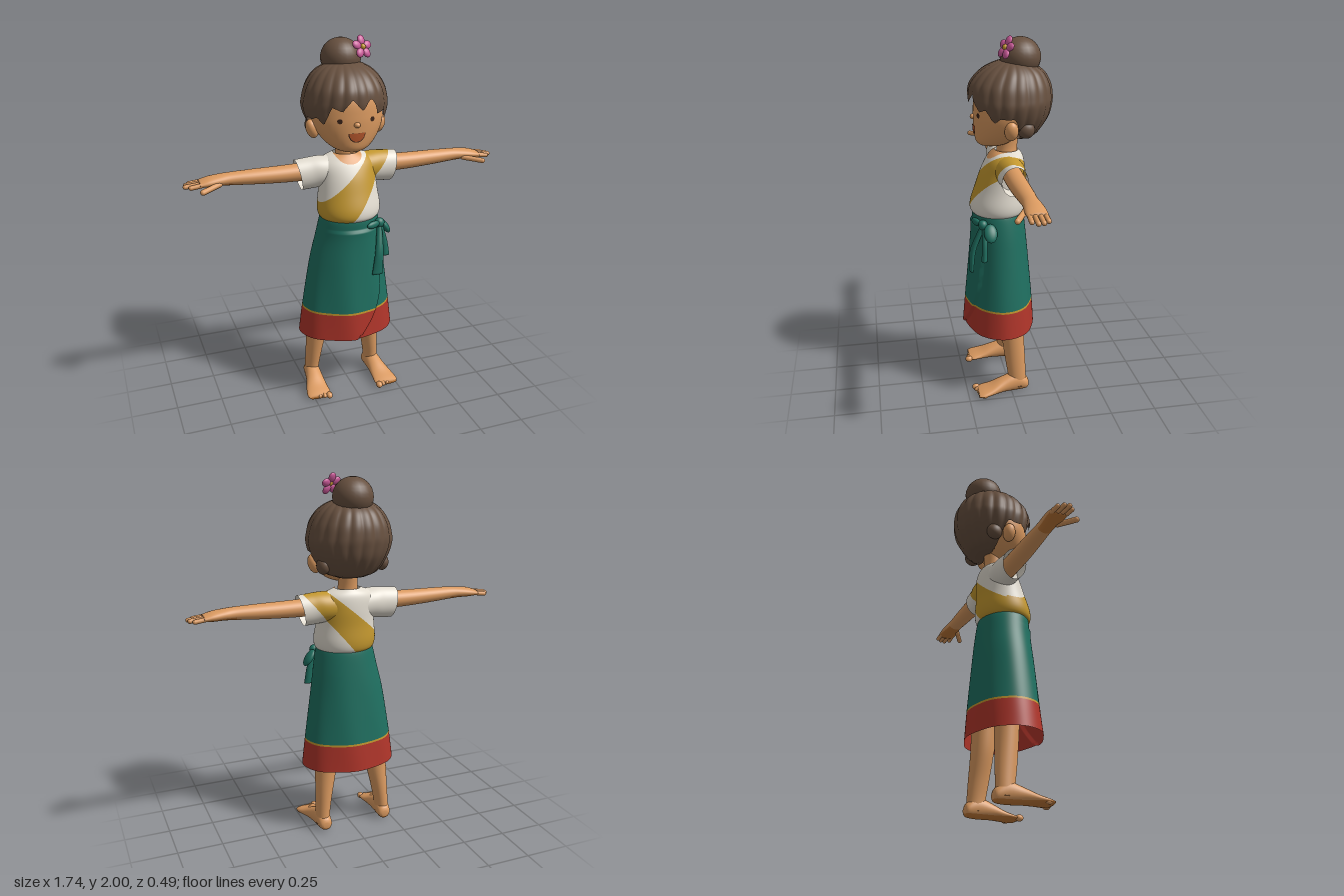
import * as THREE from 'three';

const mat = (name, color, side = THREE.FrontSide) => {
  const m = new THREE.MeshStandardMaterial({ color, side });
  m.name = name;
  return m;
};

// Loft of ovals along an axis. Row: [along, centre, radius, far side, near side].
const place = {
  y: (a, c, s) => new THREE.Vector3(c, a, s),
  x: (a, c, s) => new THREE.Vector3(a, c, s),
  z: (a, c, s) => new THREE.Vector3(c, s, a),
};
function sampler(rows) {
  const A = new THREE.CatmullRomCurve3(rows.map(r => new THREE.Vector3(r[0], r[1], r[2])), false, 'catmullrom');
  const B = new THREE.CatmullRomCurve3(rows.map(r => new THREE.Vector3(r[3], r[4], 0)), false, 'catmullrom');
  return t => {
    const p = A.getPoint(t), q = B.getPoint(t);
    return { a: p.x, c: p.y, r: Math.max(p.z, 0), m: (q.x + q.y) / 2, h: (q.x - q.y) / 2 };
  };
}
function loft(rows, { axis = 'y', n = 32, steps = 24, closed = true, warp } = {}) {
  const at = sampler(rows), pos = [], idx = [], rings = [];
  for (let i = 0; i <= steps; i++) rings.push(at(i / steps));
  if (closed) {
    rings.unshift({ ...rings[0], r: 0, h: 0 });
    rings.push({ ...rings[rings.length - 1], r: 0, h: 0 });
  }
  const flip = (axis !== 'y') !== (rows[rows.length - 1][0] < rows[0][0]);
  rings.forEach((k, i) => {
    for (let j = 0; j < n; j++) {
      const th = j / n * Math.PI * 2;
      const p = place[axis](k.a, k.c + k.r * Math.sin(th), k.m + k.h * Math.cos(th));
      if (warp) warp(p, th, k);
      pos.push(p.x, p.y, p.z);
      if (i === rings.length - 1) continue;
      const a = i * n + j, b = i * n + (j + 1) % n, c = b + n, d = a + n;
      idx.push(...(flip ? [a, c, b, a, d, c] : [a, b, c, a, c, d]));
    }
  });
  const g = new THREE.BufferGeometry();
  g.setAttribute('position', new THREE.Float32BufferAttribute(pos, 3));
  g.setIndex(idx);
  g.computeVertexNormals();
  return g;
}

// Cut a geometry cleanly along f = 0; returns [f >= 0, f < 0].
function split(geo, f) {
  const g = geo.index ? geo.toNonIndexed() : geo, P = g.attributes.position, N = g.attributes.normal;
  const out = [1, -1].map(sign => {
    const pos = [], nor = [];
    for (let i = 0; i < P.count; i += 3) {
      const tri = [0, 1, 2].map(k => {
        const p = new THREE.Vector3().fromBufferAttribute(P, i + k);
        return { p, n: new THREE.Vector3().fromBufferAttribute(N, i + k), v: sign * f(p) };
      });
      const poly = [];
      tri.forEach((a, k) => {
        const b = tri[(k + 1) % 3];
        if (a.v >= 0) poly.push(a);
        if ((a.v >= 0) !== (b.v >= 0)) {
          const t = a.v / (a.v - b.v);
          poly.push({ p: a.p.clone().lerp(b.p, t), n: a.n.clone().lerp(b.n, t) });
        }
      });
      for (let k = 1; k + 1 < poly.length; k++)
        for (const q of [poly[0], poly[k], poly[k + 1]]) { pos.push(...q.p.toArray()); nor.push(...q.n.toArray()); }
    }
    const o = new THREE.BufferGeometry();
    o.setAttribute('position', new THREE.Float32BufferAttribute(pos, 3));
    o.setAttribute('normal', new THREE.Float32BufferAttribute(nor, 3));
    return o;
  });
  return out;
}

export function createModel() {
  const root = new THREE.Group();
  const D = THREE.DoubleSide;
  const skin = mat('skin', 0xdb9a60), tan = mat('shadedSkin', 0xc47a38), hair = mat('hair', 0x67503f, D),
    white = mat('whiteCloth', 0xe2dcd0, D), gold = mat('goldCloth', 0xc4982f, D), green = mat('greenCloth', 0x1f6f60, D),
    red = mat('redCloth', 0xb0352a, D), pink = mat('petalPink', 0xcc5a9a), dark = mat('eyeBrown', 0x3a2318),
    lip = mat('mouthRed', 0xb5562c);
  const add = (name, geo, m) => {
    const o = new THREE.Mesh(geo, m);
    o.name = name;
    root.add(o);
    return o;
  };
  const ball = (name, m, p, s) => {
    const o = add(name, new THREE.SphereGeometry(1, 24, 16), m);
    o.position.set(...p);
    o.scale.set(...s);
    return o;
  };
  const capsule = (name, m, a, b, r) => {
    const A = new THREE.Vector3(...a), d = new THREE.Vector3(...b).sub(A);
    const o = add(name, new THREE.CapsuleGeometry(r, d.length(), 5, 12), m);
    o.position.copy(A).addScaledVector(d, 0.5);
    o.quaternion.setFromUnitVectors(new THREE.Vector3(0, 1, 0), d.normalize());
  };

  // Head and neck
  const headRows = [[1.425, 0, .012, .11, .06], [1.433, 0, .06, .142, .01], [1.455, 0, .105, .162, -.03], [1.5, 0, .15, .17, -.08],
    [1.56, 0, .183, .174, -.12], [1.62, 0, .195, .174, -.15], [1.7, 0, .19, .165, -.16], [1.78, 0, .16, .13, -.14]];
  add('head', loft(headRows, { n: 48, steps: 40 }), skin);
  add('neck', loft([[1.3, 0, .08, .07, -.07], [1.37, 0, .06, .055, -.06], [1.42, 0, .052, .05, -.06], [1.5, 0, .055, .05, -.07]]), skin);
  ball('nose', skin, [0, 1.583, .174], [.017, .015, .018]);

  // Eyes and mouth draped on the face
  const face = sampler(headRows);
  const drape = (name, geo, m, lift) => {
    const p = geo.attributes.position;
    for (let i = 0; i < p.count; i++) {
      let lo = 0, hi = 1;
      for (let k = 0; k < 30; k++) { const t = (lo + hi) / 2; if (face(t).a < p.getY(i)) lo = t; else hi = t; }
      const k = face(lo);
      p.setZ(i, k.m + k.h * Math.sqrt(Math.max(0, 1 - (p.getX(i) / k.r) ** 2)) + lift);
    }
    geo.computeVertexNormals();
    add(name, geo, m);
  };
  const mouth = (name, w, h, m, lift) =>
    drape(name, new THREE.RingGeometry(.001, 1, 24, 4, Math.PI, Math.PI).scale(w, h, 1).translate(0, 1.541, 0), m, lift);
  mouth('mouthEdge', .047, .05, dark, .003);
  mouth('mouth', .042, .045, lip, .005);
  for (const s of [-1, 1]) {
    drape('eye', new THREE.CircleGeometry(.013, 16).translate(s * .088, 1.605, 0), dark, .004);
    ball('ear', skin, [s * .187, 1.54, .005], [.032, .052, .036]).rotation.z = -s * .3;
    ball('sideCurl', hair, [s * .165, 1.54, -.075], [.035, .045, .045]);
  }

  // Hair cap with ridges and a jagged fringe
  const cap = loft([[1.47, 0, .08, 0, -.11], [1.5, 0, .15, .1, -.165], [1.58, 0, .203, .18, -.22], [1.65, 0, .226, .196, -.238],
    [1.7, 0, .222, .2, -.24], [1.76, 0, .204, .187, -.228], [1.82, 0, .162, .135, -.19], [1.86, 0, .1, .06, -.12], [1.88, 0, .01, -.03, -.05]],
  { n: 160, steps: 50, warp: (p, th, k) => {
    const f = 1 + .04 * (Math.abs(Math.sin(th * 10 + (1.88 - k.a) * 3)) - .6);
    p.x *= f;
    p.z = k.m + (p.z - k.m) * f;
  } });
  const line = p => {
    const th = Math.atan2(p.x, p.z + .03), a = Math.abs(th), L = THREE.MathUtils.lerp, S = THREE.MathUtils.smoothstep;
    let y = L(1.695, 1.605, S(a, .25, 1));
    y = L(y, 1.47, S(a, 1.45, 1.75));
    const saw = Math.abs(((th * 2.2 + 10.3) % 1) - .5) * 2;
    return a < 1.3 ? y + .06 * (saw - .6) * (1 - S(a, .8, 1.3)) : y;
  };
  add('hairCap', split(cap, p => p.y - line(p))[0], hair);
  ball('hairBun', hair, [0, 1.885, -.075], [.107, .102, .107]);

  // Flower on the bun
  const flower = new THREE.Group();
  flower.name = 'flower';
  for (let i = 0; i < 5; i++) {
    const a = i / 5 * Math.PI * 2 + .3, o = ball('petal', pink, [Math.cos(a) * .036, Math.sin(a) * .036, 0], [.027, .022, .013]);
    o.rotation.z = a;
    flower.add(o);
  }
  flower.add(ball('flowerCentre', gold, [0, 0, .006], [.015, .015, .014]));
  flower.position.set(.085, 1.945, .015);
  flower.quaternion.setFromUnitVectors(new THREE.Vector3(0, 0, 1), new THREE.Vector3(.35, .4, .85).normalize());
  root.add(flower);

  // Blouse: torso and sleeves, with the sash over the left shoulder
  const sash = p => .07 + .055 * (1.38 - p.y) / .32 - Math.abs(p.y - p.x - (p.z < 0 ? 1.195 : 1.21));
  const dress = (name, geo) => {
    const [on, off] = split(geo, sash);
    add('sash', on, gold);
    add(name, off, white);
  };
  const torso = loft([[1.05, 0, .15, .18, -.085], [1.075, 0, .168, .198, -.1], [1.12, 0, .173, .195, -.105], [1.2, 0, .163, .168, -.1],
    [1.28, 0, .157, .14, -.1], [1.34, 0, .158, .11, -.095], [1.375, 0, .13, .085, -.085], [1.4, 0, .07, .062, -.065]],
  { n: 96, steps: 48, closed: false });
  const [chest, cloth] = split(torso, p => p.z > 0 ? 1 - (p.x / .075) ** 2 - ((p.y - 1.405) / .052) ** 2 : -1);
  add('neckline', chest, skin);
  dress('blouse', cloth);
  for (const s of [-1, 1]) {
    const out = rows => rows.map(([x, ...r]) => [s * x, ...r]);
    const sleeve = loft(out([[.06, 1.3, .085, .085, -.08], [.14, 1.305, .083, .078, -.078], [.2, 1.3, .084, .07, -.07], [.268, 1.295, .083, .068, -.068]]),
      { axis: 'x', n: 48, closed: false, warp: p => { p.x += s * (p.y - 1.295) * .2; } });
    if (s > 0) dress('leftSleeve', sleeve); else add('rightSleeve', sleeve, white);

    // Arm and hand
    const arm = loft(out([[.15, 1.31, .05, .052, -.052], [.35, 1.31, .045, .052, -.05], [.5, 1.313, .04, .047, -.047], [.62, 1.316, .034, .042, -.043],
      [.68, 1.316, .03, .045, -.048], [.74, 1.312, .026, .05, -.053], [.79, 1.307, .016, .048, -.052]]), { axis: 'x', steps: 40 });
    const [palm, armTop] = split(arm, p => Math.min(Math.abs(p.x) - .62, 1.302 - p.y));
    add('palm', palm, tan);
    add('arm', armTop, skin);
    [[.035, .835], [.011, .86], [-.014, .855], [-.038, .835]].forEach(([z, x]) =>
      capsule('finger', skin, [s * .77, 1.308, z], [s * x, 1.3, z * 1.05], .0125));
    capsule('thumb', skin, [s * .69, 1.302, .035], [s * .785, 1.288, .09], .0145);

    // Leg, foot and toes
    const X = x => s * x - (s > 0 ? .033 : 0);
    add('leg', loft([[.04, X(.203), .04, .02, -.088], [.1, X(.2), .04, .018, -.085], [.2, X(.19), .046, .032, -.082],
      [.35, X(.173), .059, .05, -.076], [.5, X(.165), .064, .06, -.075]]), skin);
    const foot = loft([[-.1, X(.2), .018, .06, .025], [-.085, X(.2), .036, .085, .01], [-.03, X(.203), .043, .12, .005], [.05, X(.21), .05, .095, .008],
      [.12, X(.219), .062, .062, .008], [.17, X(.222), .068, .045, .008], [.195, X(.222), .06, .036, .01]], { axis: 'z' });
    const [sole, instep] = split(foot, p => .026 - p.y);
    add('sole', sole, tan);
    add('foot', instep, skin);
    for (let i = 0; i < 5; i++)
      ball('toe', skin, [X(.17 + i * .026), .024, .2 - i * .009], [i ? .013 : .018, i ? .014 : .018, .022]);
  }

  // Wrap skirt with an overlapping front panel, trim and hem
  const skirt = loft([[.38, -.017, .271, .232, -.155], [.54, -.015, .25, .218, -.143], [.8, -.01, .21, .195, -.12], [.95, -.002, .182, .185, -.105],
    [1.05, 0, .162, .187, -.092], [1.068, 0, .15, .175, -.08]], { n: 160, steps: 60, closed: false, warp: (p, th) => {
    const edge = .14 - .15 * Math.max(0, (.66 - p.y) / .28) ** 2;
    if (p.z > .03 && p.x < edge && p.y < 1.0) p.z += .012 * THREE.MathUtils.smoothstep(p.x, -.2, -.02);
    p.z += .004 * Math.sin(th * 7 + p.y * 5) * (1.06 - p.y);
  } });
  const [upper, lower] = split(skirt, p => p.y - .54);
  const [trim, hem] = split(lower, p => p.y - .529);
  add('skirt', upper, green);
  add('skirtTrim', trim, gold);
  add('skirtHem', hem, red);

  // Bow at the waist
  ball('bowKnot', green, [.14, 1.025, .15], [.028, .028, .025]);
  ball('bowLoop', green, [.183, .99, .115], [.02, .052, .036]).rotation.z = .6;
  ball('bowLoop', green, [.095, 1.028, .178], [.045, .02, .015]).rotation.y = .4;
  add('bowTail', loft([[.75, .108, .03, .222, .2], [.88, .122, .023, .218, .185], [1.02, .14, .013, .165, .135]]), green);
  add('bowTail', loft([[.83, .18, .022, .165, .135], [.92, .17, .018, .16, .13], [1.02, .145, .012, .155, .13]]), green);
  return root;
}
